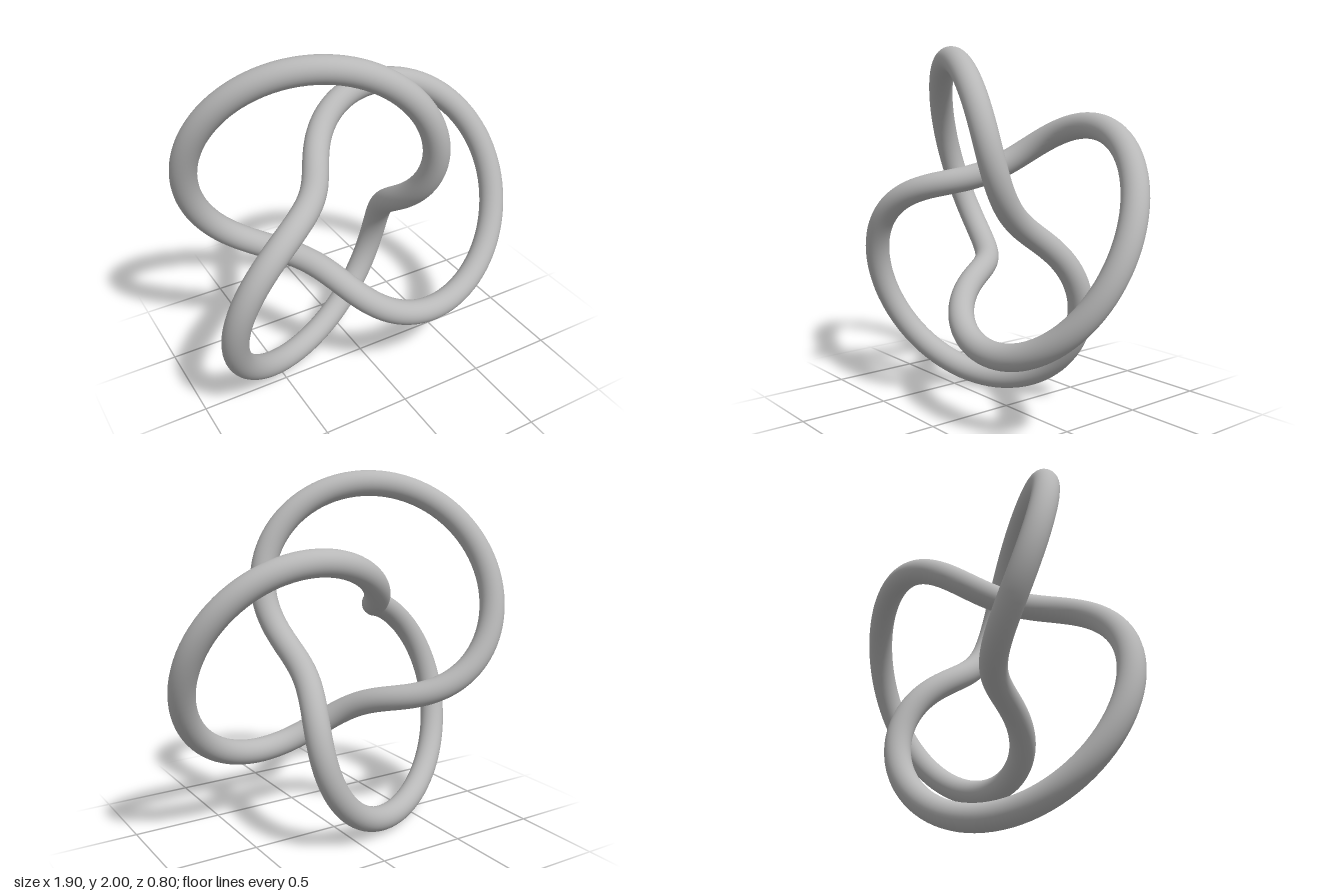
import * as THREE from 'three';

export function createModel() {
  const group = new THREE.Group();
  group.name = 'trefoilKnot';

  const grey = new THREE.MeshStandardMaterial({ color: 0xb8b8b8 });
  grey.name = 'grey';

  // One closed round tube: twice around the axis, three lobes (negative = left-handed twist)
  const knot = new THREE.Mesh(new THREE.TorusKnotGeometry(0.657, 0.0704, 300, 32, 2, -3), grey);
  knot.name = 'knotTube';

  // Centre the extents on x and z and stand the knot on the ground
  knot.geometry.computeBoundingBox();
  const box = knot.geometry.boundingBox;
  const centre = box.getCenter(new THREE.Vector3());
  knot.position.set(-centre.x, -box.min.y, -centre.z);

  group.add(knot);
  return group;
}
